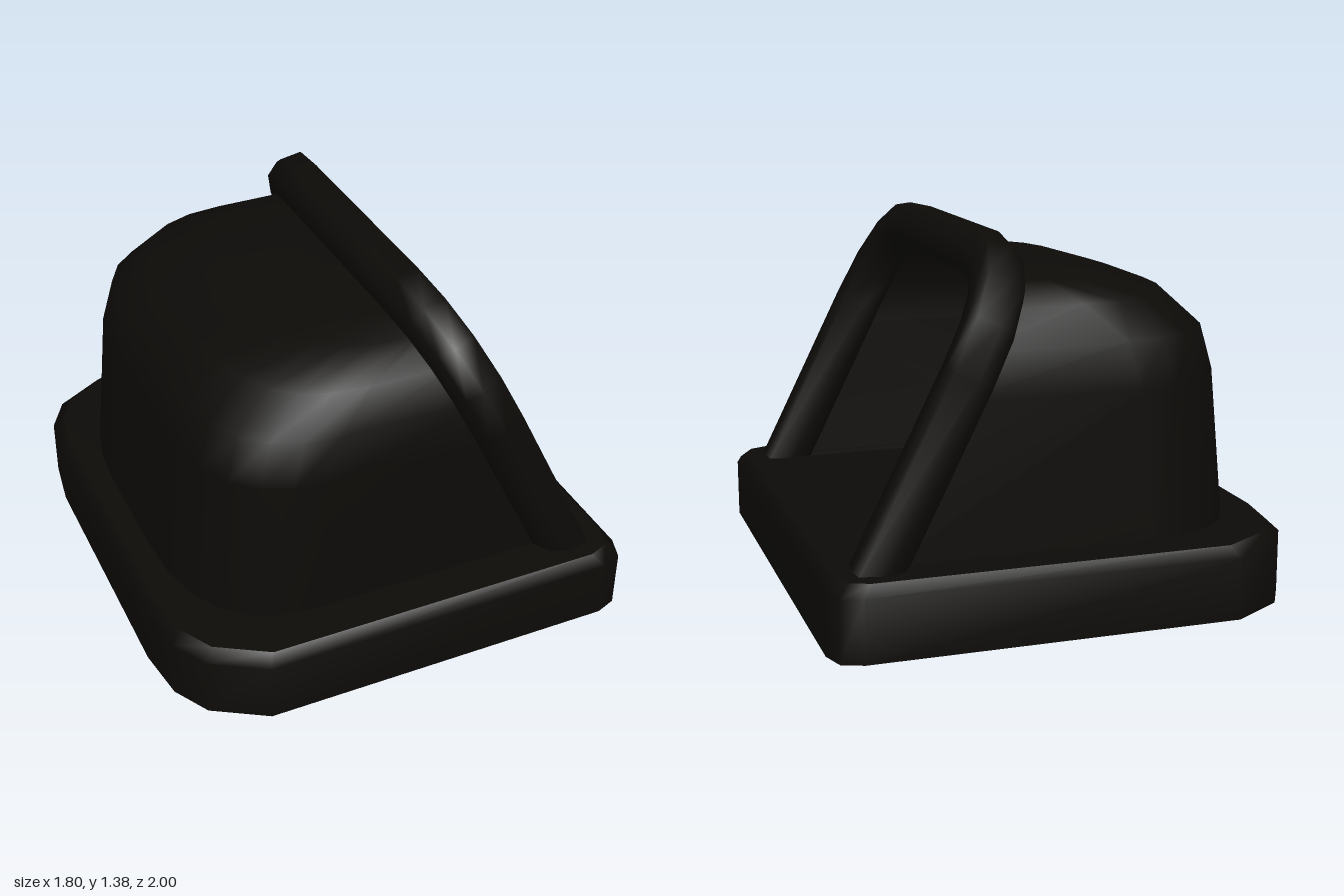
import * as THREE from 'three';

const material = new THREE.MeshStandardMaterial({ color: 0x0d0b08, side: THREE.DoubleSide });

function addMesh(group, name, geometry) {
  const mesh = new THREE.Mesh(geometry, material);
  mesh.name = name;
  group.add(mesh);
}

// Skins a stack of cross-sections that all have the same number of points.
function loft(sections, closed) {
  const n = sections[0].length;
  const index = [];
  for (let i = 0; i < sections.length - 1; i++) {
    for (let j = 0; j < (closed ? n : n - 1); j++) {
      const k = (j + 1) % n;
      const a = i * n + j, b = i * n + k, c = a + n, d = b + n;
      index.push(a, c, b, b, c, d);
    }
  }
  const g = new THREE.BufferGeometry();
  g.setAttribute('position', new THREE.Float32BufferAttribute(sections.flat(2), 3));
  g.setIndex(index);
  g.computeVertexNormals();
  return g;
}

// Adds the mirrored half (negative z) to an outline of [x, z] points.
const mirrorZ = (half) => [...half, ...half.map(([x, z]) => [x, -z]).reverse()];

// Points of a rounded corner.
function corner(from, control, to, steps) {
  const [a, b, c] = [from, control, to].map((p) => new THREE.Vector2(...p));
  return new THREE.QuadraticBezierCurve(a, b, c).getPoints(steps).map((p) => [p.x, p.y]);
}

// U-shaped outline: straight sides from xFront, rounded corners at xBack.
function uOutline(xFront, xBack, zMax) {
  const rx = Math.min(0.44, 0.85 * (xFront - xBack));
  return mirrorZ([[xFront, zMax],
    ...corner([xBack + rx, zMax], [xBack, zMax], [xBack, 0.27 * zMax], 6)]);
}

// The front opening lies in a plane leaning backwards.
const LEAN = Math.atan(0.5);
const leanX = (y) => 0.692 - 0.5 * (y - 0.27);

// Sweeps a [forward, outward] section along a path of [height, z] in the leaning plane.
function sweepInLean(path, section) {
  const cos = Math.cos(LEAN), sin = Math.sin(LEAN);
  const pts = path.map((p) => new THREE.Vector2(...p));
  const dirs = pts.slice(1).map((p, i) => p.clone().sub(pts[i]).normalize());
  return pts.map((p, i) => {
    const t = dirs[Math.max(0, i - 1)].clone().add(dirs[Math.min(i, dirs.length - 1)]).normalize();
    return section.map(([forward, out]) => {
      const v = p.x - t.y * out;
      const z = p.y + t.x * out;
      return [0.692 - sin * v + cos * forward, 0.27 + cos * v + sin * forward, z];
    });
  });
}

export function createModel() {
  const model = new THREE.Group();
  model.name = 'hoodedVent';

  // Base skirt, open underneath, with a chamfered upper edge
  const outline = mirrorZ([[0.9, 0.88], [0.87, 0.97], [0.79, 1],
    [-0.59, 1], [-0.79, 0.88], [-0.87, 0.74], [-0.9, 0.53]]);
  const inset = outline.map(([x, z]) => [x * 0.955, z * 0.96]);
  const at = (pts, y) => pts.map(([x, z]) => [x, y, z]);
  addMesh(model, 'baseSkirt',
    loft([at(outline, 0), at(outline, 0.23), at(inset, 0.27)], true));

  // Flat rim on top of the base, following the foot of the hood
  const toShape = (pts) => pts.map(([x, z]) => new THREE.Vector2(x, -z));
  const rim = new THREE.Shape(toShape(inset));
  rim.holes.push(new THREE.Path(toShape(uOutline(0.62, -0.76, 0.8))));
  const rimGeometry = new THREE.ShapeGeometry(rim);
  rimGeometry.rotateX(-Math.PI / 2);
  rimGeometry.translate(0, 0.27, 0);
  addMesh(model, 'baseRim', rimGeometry);

  // Floor panel, leaving the rear of the hood open below
  const floor = new THREE.PlaneGeometry(0.94, 1.5);
  floor.rotateX(-Math.PI / 2);
  floor.translate(0.18, 0.267, 0);
  addMesh(model, 'floorPanel', floor);

  // Hood shell: layers of [height, back x, half width], closing along the crown
  const layers = [
    [0.25, -0.772, 0.81], [0.83, -0.715, 0.81], [1.0, -0.67, 0.79],
    [1.13, -0.53, 0.72], [1.2, -0.3, 0.6], [1.225, 0, 0.44], [1.227, 0.03, 0],
  ];
  addMesh(model, 'hoodShell',
    loft(layers.map(([y, xBack, z]) => at(uOutline(leanX(y), xBack, z), y)), false));

  // Leaning hoop around the hood opening, flatter on its front face
  const hoopPath = mirrorZ([[-0.08, 0.8125],
    ...corner([0.72, 0.8125], [1.13, 0.8125], [1.13, 0.44], 4)]);
  const hoopSection = [[0.09, 0], [0.08, 0.072], [-0.005, 0.093], [-0.067, 0.067],
    [-0.1, 0], [-0.067, -0.067], [-0.005, -0.093], [0.08, -0.072]];
  addMesh(model, 'openingHoop', loft(sweepInLean(hoopPath, hoopSection), true));

  return model;
}
